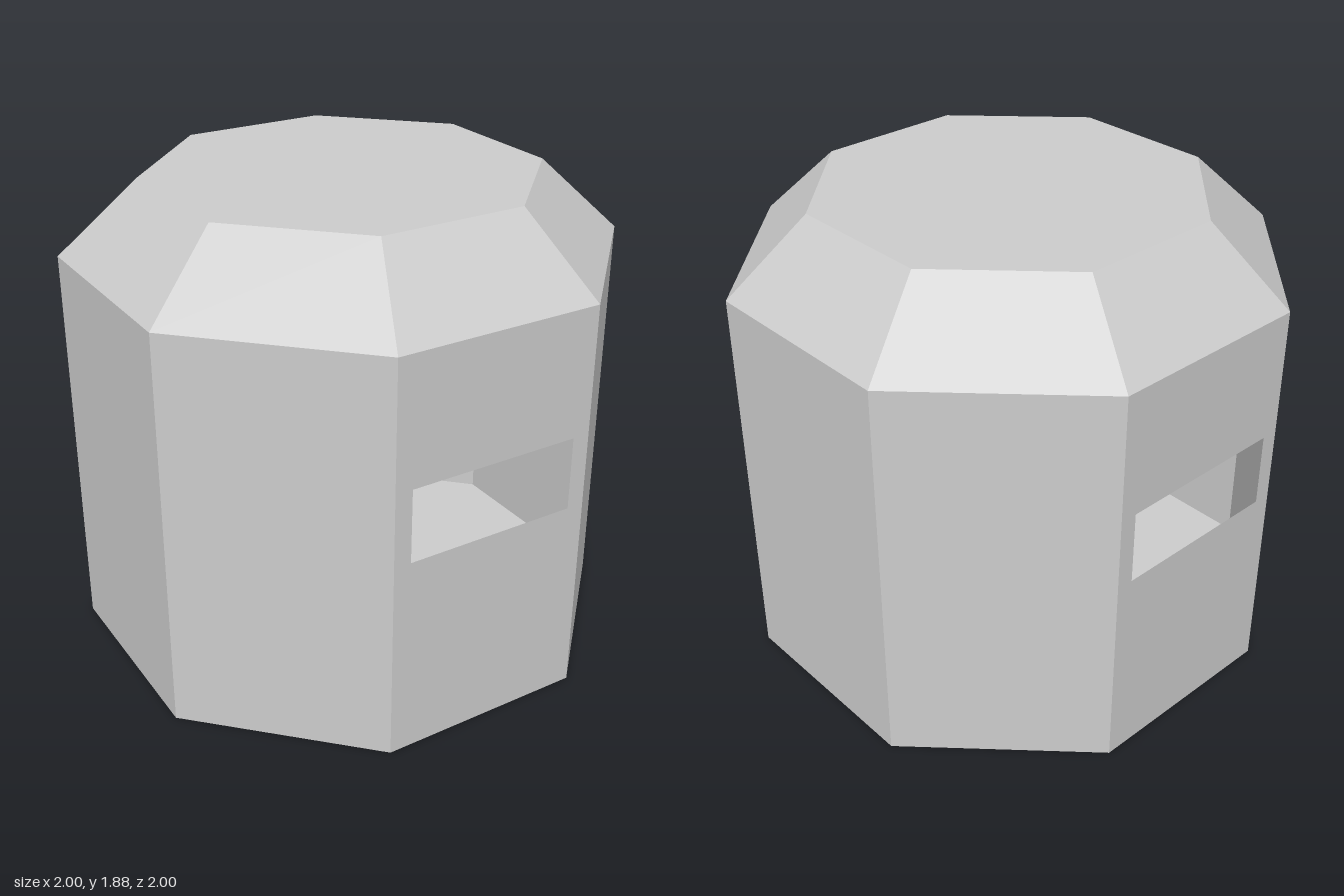
import * as THREE from 'three';

const SIDES = 8;
const STEP = (Math.PI * 2) / SIDES;
const WALL_TOP = 1.59;
const ROOF_TOP = 1.88;
const WALL_APOTHEM = 1;
const ROOF_APOTHEM = 0.71;
const SLOT = { halfWidth: 0.345, bottom: 0.8, top: 1.09 };

// Corner radius of the octagon with the given centre-to-side distance
const corner = (apothem) => apothem / Math.cos(STEP / 2);

// One upright wall panel, optionally pierced by a viewing slot
function panelGeometry(withSlot) {
  const h = WALL_APOTHEM * Math.tan(STEP / 2);
  const shape = new THREE.Shape();
  shape.moveTo(-h, 0).lineTo(h, 0).lineTo(h, WALL_TOP).lineTo(-h, WALL_TOP).closePath();
  if (withSlot) {
    const { halfWidth: w, bottom, top } = SLOT;
    const hole = new THREE.Path();
    hole.moveTo(-w, bottom).lineTo(-w, top).lineTo(w, top).lineTo(w, bottom).closePath();
    shape.holes.push(hole);
  }
  return new THREE.ShapeGeometry(shape).translate(0, 0, WALL_APOTHEM);
}

// Flat octagon with its sides square to the axes
function octagon(apothem) {
  return new THREE.CircleGeometry(corner(apothem), SIDES, STEP / 2);
}

export function createModel() {
  const model = new THREE.Group();
  model.name = 'bunker';

  const concrete = new THREE.MeshStandardMaterial({
    color: 0xcccccc, flatShading: true, side: THREE.DoubleSide,
  });
  concrete.name = 'concrete grey';

  const add = (name, geometry, parent = model) => {
    const mesh = new THREE.Mesh(geometry, concrete);
    mesh.name = name;
    parent.add(mesh);
    return mesh;
  };

  // Thin hollow walls, slotted at front and back
  const walls = new THREE.Group();
  walls.name = 'walls';
  model.add(walls);
  for (let i = 0; i < SIDES; i++) {
    const slotted = i % (SIDES / 2) === 0;
    const panel = add(slotted ? 'slottedWall' : 'plainWall', panelGeometry(slotted), walls);
    panel.rotation.y = i * STEP;
  }

  // Sloping roof ring
  const slope = new THREE.CylinderGeometry(
    corner(ROOF_APOTHEM), corner(WALL_APOTHEM), ROOF_TOP - WALL_TOP, SIDES, 1, true, STEP / 2);
  add('roofSlope', slope.translate(0, (ROOF_TOP + WALL_TOP) / 2, 0));

  // Roof top and floor
  add('roofTop', octagon(ROOF_APOTHEM).rotateX(-Math.PI / 2).translate(0, ROOF_TOP, 0));
  add('floor', octagon(WALL_APOTHEM).rotateX(Math.PI / 2));

  return model;
}
